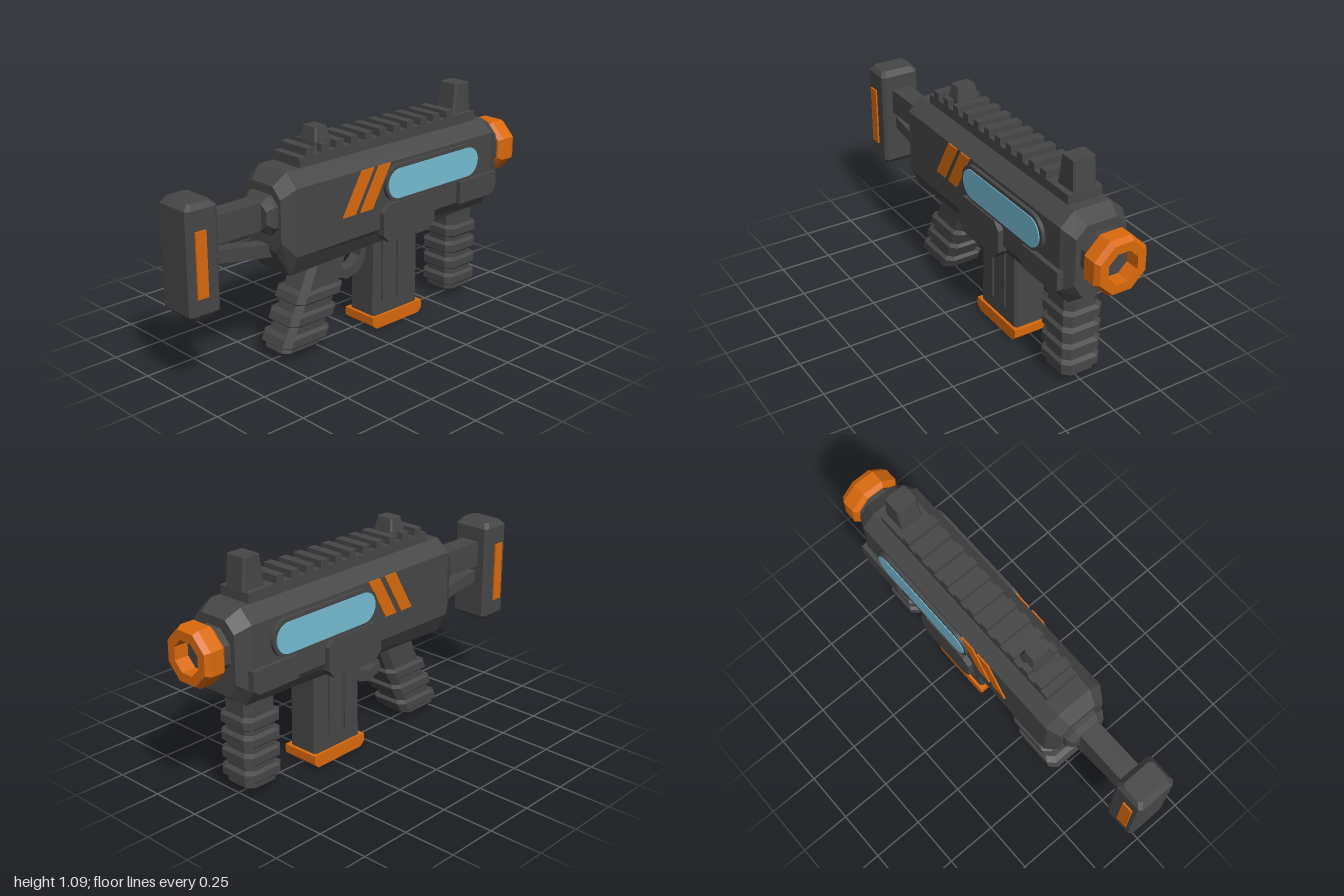
import * as THREE from 'three';

const dark = new THREE.MeshStandardMaterial({ color: 0x474747 });
dark.name = 'charcoal';
const orange = new THREE.MeshStandardMaterial({ color: 0xdb6a0c });
orange.name = 'orange';
const cyan = new THREE.MeshStandardMaterial({ color: 0x76bed4 });
cyan.name = 'paleBlue';

// Hard-edged normals for every part
function flat(geo) {
  const g = geo.index ? geo.toNonIndexed() : geo;
  g.computeVertexNormals();
  return g;
}

// Skin a row of matching convex rings and cap both ends
function loft(rings) {
  const tris = [];
  const n = rings[0].length;
  for (let r = 0; r < rings.length - 1; r++) {
    for (let i = 0; i < n; i++) {
      const j = (i + 1) % n;
      const [a, b, c, d] = [rings[r][i], rings[r][j], rings[r + 1][j], rings[r + 1][i]];
      tris.push([a, b, c], [a, c, d]);
    }
  }
  const last = rings[rings.length - 1];
  for (let i = 1; i < n - 1; i++) {
    tris.push([rings[0][0], rings[0][i + 1], rings[0][i]], [last[0], last[i], last[i + 1]]);
  }
  // Turn the faces outward if the enclosed volume is negative
  const V = (p) => new THREE.Vector3(...p);
  const volume = tris.reduce((s, [a, b, c]) => s + V(a).dot(V(b).cross(V(c))), 0);
  if (volume < 0) tris.forEach((t) => t.reverse());
  const g = new THREE.BufferGeometry();
  g.setAttribute('position', new THREE.Float32BufferAttribute(tris.flat(2), 3));
  return flat(g);
}

// Rectangle with cut corners: half sizes a, b and cut c
const cutRect = (a, b, c) => [
  [a - c, b], [a, b - c], [a, c - b], [a - c, -b], [c - a, -b], [-a, c - b], [-a, b - c], [c - a, b],
];

// Horizontal ring for upright parts
const ringY = (y, cx, a, b, c) => cutRect(a, b, c).map(([u, v]) => [cx + u, y, v]);
// Vertical ring across the body: bottom, top, half width, lower and upper bevel heights
const ringX = (x, yb, yt, w, lower, upper) => [
  [x, yt, w * 0.58], [x, yt - upper, w], [x, yb + lower, w], [x, yb, w * 0.66],
  [x, yb, -w * 0.66], [x, yb + lower, -w], [x, yt - upper, -w], [x, yt, -w * 0.58],
];

const shapeOf = (pts) => new THREE.Shape(pts.map(([x, y]) => new THREE.Vector2(x, y)));

function slab(shape, z0, z1, curveSegments = 12) {
  const g = new THREE.ExtrudeGeometry(shape, { depth: z1 - z0, bevelEnabled: false, curveSegments });
  return flat(g.translate(0, 0, z0));
}

function capsule(x0, x1, y0, y1) {
  const r = (y1 - y0) / 2;
  const s = new THREE.Shape();
  s.moveTo(x0 + r, y0);
  s.lineTo(x1 - r, y0);
  s.absarc(x1 - r, y0 + r, r, -Math.PI / 2, Math.PI / 2, false);
  s.lineTo(x0 + r, y1);
  s.absarc(x0 + r, y0 + r, r, Math.PI / 2, Math.PI * 1.5, false);
  return s;
}

export function createModel() {
  const model = new THREE.Group();
  model.name = 'toyBlaster';

  const add = (name, geo, mat = dark) => {
    const m = new THREE.Mesh(geo, mat);
    m.name = name;
    model.add(m);
    return m;
  };
  const box = (name, x0, x1, y0, y1, z, mat) =>
    add(name, flat(new THREE.BoxGeometry(x1 - x0, y1 - y0, 2 * z)
      .translate((x0 + x1) / 2, (y0 + y1) / 2, 0)), mat);
  // The same plate on both flanks
  const bothSides = (name, shape, z0, z1, mat) => {
    add(name + 'Left', slab(shape, z0, z1), mat);
    add(name + 'Right', slab(shape, -z1, -z0), mat);
  };

  // Main body with bevelled ends
  add('body', loft([
    ringX(-0.53, 0.55, 0.845, 0.12, 0.05, 0.05),
    ringX(-0.47, 0.43, 0.9, 0.155, 0.1, 0.06),
    ringX(0.78, 0.465, 0.9, 0.155, 0.075, 0.06),
    ringX(0.85, 0.52, 0.86, 0.125, 0.07, 0.05),
  ]));

  // Stock: collar, tube, strut, butt and side inlays
  add('stockCollar', loft([
    ringX(-0.58, 0.66, 0.775, 0.085, 0.03, 0.03),
    ringX(-0.55, 0.63, 0.805, 0.105, 0.04, 0.04),
    ringX(-0.52, 0.63, 0.805, 0.105, 0.04, 0.04),
  ]));
  box('stockTube', -0.86, -0.55, 0.655, 0.78, 0.05);
  add('stockStrut', slab(shapeOf([[-0.86, 0.57], [-0.51, 0.51], [-0.51, 0.57], [-0.86, 0.63]]), -0.035, 0.035));
  add('stockButt', loft([
    [0.365, 0.035], [0.39, 0], [0.85, 0], [0.875, 0.035],
  ].map(([y, inset]) => ringY(y, -0.92, 0.08 - inset * 0.7, 0.1 - inset * 0.5, 0.015))));
  bothSides('stockInlay', shapeOf([[-0.965, 0.465], [-0.91, 0.465], [-0.91, 0.76], [-0.965, 0.76]]), 0.099, 0.108, orange);

  // Barrel neck and eight-sided muzzle ring
  const neck = new THREE.CylinderGeometry(0.108, 0.108, 0.1, 8, 1, false, Math.PI / 8);
  add('barrelNeck', flat(neck.rotateZ(-Math.PI / 2).translate(0.88, 0.72, 0)));
  const ringProfile = [
    [0.078, 0.89], [0.118, 0.89], [0.138, 0.91], [0.138, 0.975], [0.122, 1], [0.078, 1], [0.078, 0.89],
  ].map(([r, y]) => new THREE.Vector2(r, y));
  const muzzle = new THREE.LatheGeometry(ringProfile, 8, Math.PI / 8);
  add('muzzleRing', flat(muzzle.rotateZ(-Math.PI / 2).translate(0, 0.72, 0)), orange);

  // Top rail with teeth
  box('railBase', -0.39, 0.73, 0.89, 0.945, 0.085);
  for (let i = 0; i < 11; i++) {
    const x = -0.33 + i * 0.088;
    box('railTooth', x - 0.022, x + 0.022, 0.94, 0.98, 0.085);
  }

  // Sights
  add('rearSight', loft([
    ringY(0.94, -0.225, 0.05, 0.055, 0.008),
    ringY(0.985, -0.225, 0.047, 0.055, 0.008),
    ringY(1.043, -0.225, 0.034, 0.045, 0.008),
  ]));
  add('frontSight', loft([
    ringY(0.94, 0.67, 0.062, 0.057, 0.008),
    ringY(1.085, 0.675, 0.045, 0.055, 0.008),
  ]));

  // Side windows, stripes and raised panels
  bothSides('windowFrame', capsule(0.045, 0.68, 0.65, 0.825), 0.14, 0.173);
  bothSides('window', capsule(0.06, 0.662, 0.665, 0.807), 0.172, 0.177, cyan);
  for (const dx of [0, 0.105]) {
    bothSides('stripe', shapeOf([
      [-0.205 + dx, 0.645], [-0.132 + dx, 0.645], [-0.018 + dx, 0.84], [-0.092 + dx, 0.84],
    ]), 0.154, 0.162, orange);
  }
  const wellShape = shapeOf([
    [0.065, 0.465], [0.325, 0.465], [0.36, 0.505], [0.36, 0.615],
    [0.325, 0.65], [0.065, 0.65], [0.025, 0.615], [0.025, 0.505],
  ]);
  bothSides('magazineWell', wellShape, 0.09, 0.181);
  bothSides('sidePanel', shapeOf([
    [0.54, 0.535], [0.77, 0.535], [0.8, 0.56], [0.8, 0.645], [0.54, 0.645],
  ]), 0.12, 0.177);

  // Magazine with flutes and base
  add('magazine', loft([ringY(0.05, 0.208, 0.147, 0.082, 0.012), ringY(0.52, 0.208, 0.14, 0.082, 0.012)]));
  for (const x of [0.11, 0.21]) {
    bothSides('magazineRib', shapeOf([[x, 0.13], [x + 0.06, 0.13], [x + 0.06, 0.45], [x, 0.45]]), 0.08, 0.09);
  }
  add('magazineBase', slab(shapeOf([
    [0.07, 0], [0.35, 0], [0.372, 0.022], [0.372, 0.062], [0.045, 0.062], [0.045, 0.022],
  ]), -0.095, 0.095), orange);

  // Ribbed handles: each rib swells out and back in
  const ribbed = (top, ribTops, center, half, bulge, depth) => {
    const rings = [ringY(top, center(top), half, depth, 0.03)];
    const ring = (y, out) => rings.push(ringY(y, center(y), half + out, depth + out * 0.8, 0.03));
    for (const y of ribTops) {
      ring(y + 0.003, 0);
      ring(y - 0.01, bulge);
      ring(y - 0.046, bulge);
      ring(y - 0.059, 0);
    }
    ring(0.045, 0);
    rings.push(ringY(0.025, center(0.025), half - 0.02, depth - 0.02, 0.025));
    return loft(rings);
  };
  add('foregrip', ribbed(0.5, [0.38, 0.295, 0.21, 0.125], () => 0.668, 0.088, 0.018, 0.086));
  add('rearGrip', ribbed(0.48, [0.31, 0.215, 0.12], (y) => -0.2 - (0.45 - y) * 0.44, 0.112, 0.02, 0.086));

  // Trigger and guard
  box('trigger', -0.18, -0.135, 0.35, 0.43, 0.025, orange);
  add('triggerGuard', slab(shapeOf([
    [-0.16, 0.35], [-0.125, 0.3], [-0.06, 0.277], [0.005, 0.292], [0.055, 0.345], [0.065, 0.48],
    [0.025, 0.48], [0.018, 0.37], [-0.015, 0.337], [-0.06, 0.325], [-0.105, 0.34], [-0.13, 0.37],
  ]), -0.03, 0.03));

  return model;
}
